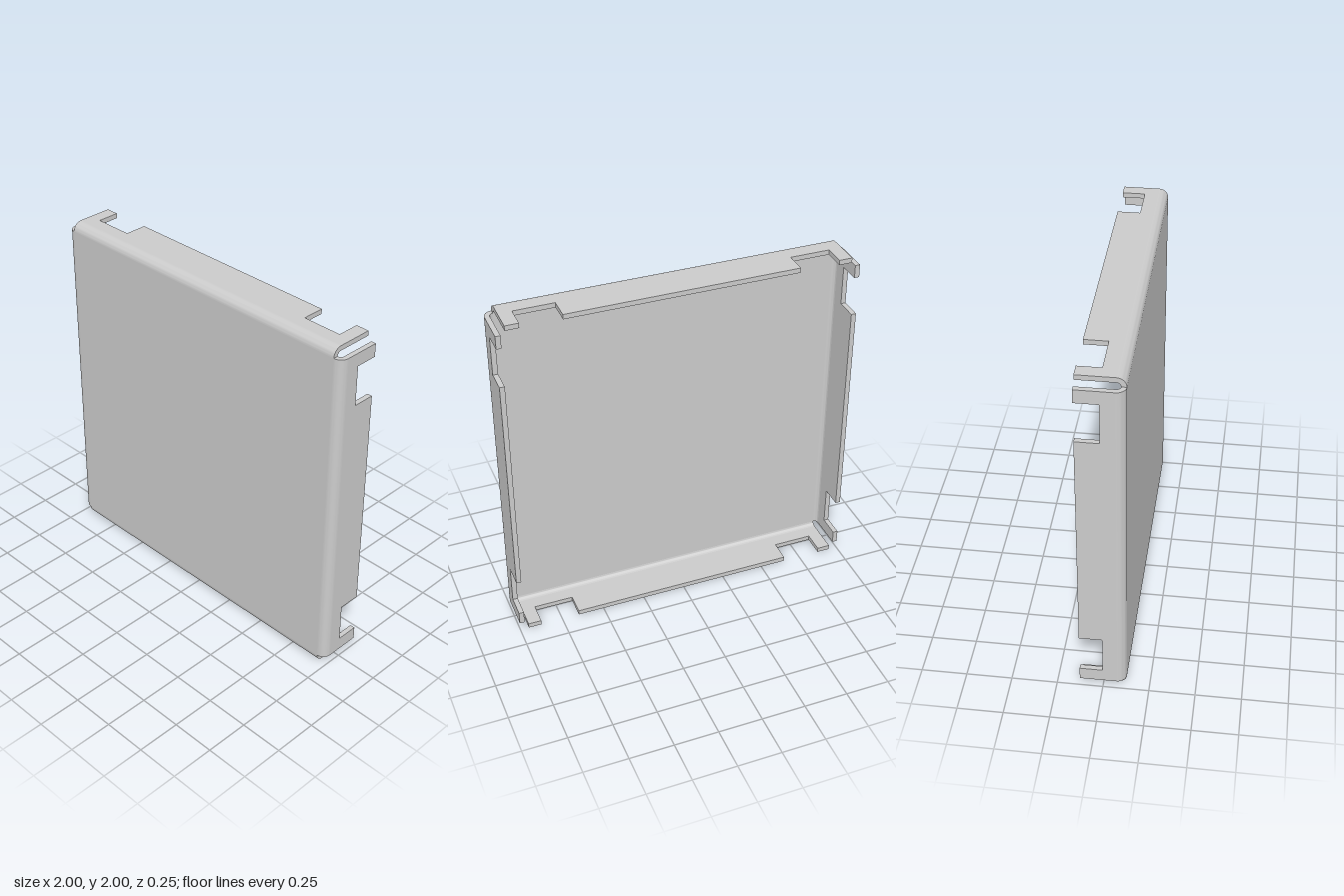
import * as THREE from 'three';
import { toCreasedNormals } from 'three/addons/utils/BufferGeometryUtils.js';

const T = 0.028;       // sheet thickness
const R = 0.05;        // outer bend radius
const HALF = 0.95;     // half width of the flat panel
const FRONT = 0.125;   // z of the front face
const BACK = -0.125;   // z of the flange edge
const NOTCH = [0.65, 0.875]; // notch span measured from the middle

// Quarter-round bend along +x, turning from the front face to the side
function bendGeometry() {
  const profile = [
    [R - T, -HALF], [R, -HALF], [R, HALF], [R - T, HALF], [R - T, -HALF],
  ].map(([x, y]) => new THREE.Vector2(x, y));
  const geo = new THREE.LatheGeometry(profile, 12, 0, Math.PI / 2);
  return toCreasedNormals(geo, 0.6).translate(HALF, 0, FRONT - R);
}

// Flat flange with two notches cut into its rear edge
function flangeGeometry() {
  const root = R - FRONT, edge = -BACK, [a, b] = NOTCH;
  const outline = [
    [root, -HALF], [edge, -HALF], [edge, -b], [0, -b], [0, -a], [edge, -a],
    [edge, a], [0, a], [0, b], [edge, b], [edge, HALF], [root, HALF],
  ].map(([x, y]) => new THREE.Vector2(x, y));
  const geo = new THREE.ExtrudeGeometry(new THREE.Shape(outline), { depth: T, bevelEnabled: false });
  return geo.rotateY(Math.PI / 2).translate(HALF + R - T, 0, 0);
}

export function createModel() {
  const model = new THREE.Group();
  model.name = 'foldedPanel';
  const material = new THREE.MeshStandardMaterial({ color: 0xcccccc });

  const addMesh = (parent, name, geometry) => {
    const mesh = new THREE.Mesh(geometry, material);
    mesh.name = name;
    parent.add(mesh);
  };

  // Flat front sheet
  const sheet = new THREE.BoxGeometry(2 * HALF, 2 * HALF, T).translate(0, 1, FRONT - T / 2);
  addMesh(model, 'frontSheet', sheet);

  // Four identical folded sides around the sheet
  const bend = bendGeometry();
  const flange = flangeGeometry();
  ['left', 'top', 'right', 'bottom'].forEach((side, i) => {
    const group = new THREE.Group();
    group.name = side + 'Side';
    group.position.y = 1;
    group.rotation.z = i * Math.PI / 2;
    addMesh(group, side + 'Bend', bend);
    addMesh(group, side + 'Flange', flange);
    model.add(group);
  });

  return model;
}
